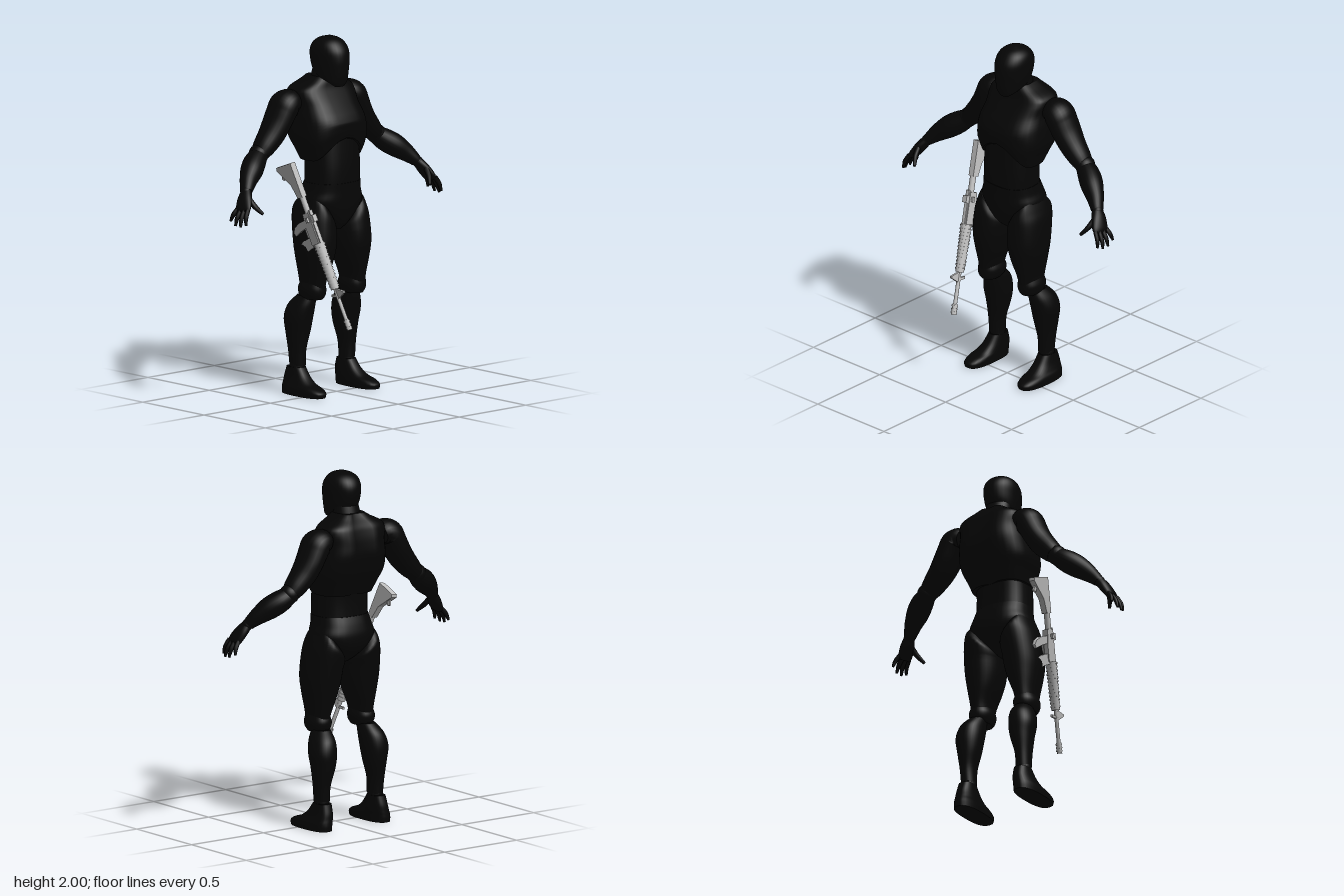
import * as THREE from 'three';

const black = new THREE.MeshStandardMaterial({ name: 'matte black', color: 0x050505 });
const steel = new THREE.MeshStandardMaterial({ name: 'steel grey', color: 0xbebebe });
const V = (x, y, z) => new THREE.Vector3(x, y, z);
const SEG = 32;

// Catmull-Rom resampling of rows of numbers
function smooth(rows, sub = 5) {
  const out = [], last = rows.length - 1;
  const row = i => rows[Math.min(last, Math.max(0, i))];
  for (let i = 0; i < last; i++) for (let k = 0; k < sub; k++) {
    const t = k / sub;
    out.push(rows[i].map((b, c) => {
      const a = row(i - 1)[c], d = row(i + 1)[c], e = row(i + 2)[c];
      return b + 0.5 * t * (d - a + t * (2 * a - 5 * b + 4 * d - e + t * (3 * (b - d) + e - a)));
    }));
  }
  out.push(rows[last]);
  return out;
}

// Skin over closed rings, with flat end caps
function skin(rings) {
  const pos = [], idx = [], n = rings[0].length;
  rings.forEach(r => r.forEach(p => pos.push(p.x, p.y, p.z)));
  for (let i = 0; i < rings.length - 1; i++) for (let j = 0; j < n; j++) {
    const a = i * n + j, b = i * n + (j + 1) % n;
    idx.push(a, a + n, b, b, a + n, b + n);
  }
  [rings[0], rings[rings.length - 1]].forEach((r, end) => {
    const s = pos.length / 3, c = V(0, 0, 0);
    r.forEach(p => { pos.push(p.x, p.y, p.z); c.addScaledVector(p, 1 / n); });
    pos.push(c.x, c.y, c.z);
    for (let j = 0; j < n; j++) {
      const k = s + (j + 1) % n;
      if (end) idx.push(s + n, k, s + j); else idx.push(s + n, s + j, k);
    }
  });
  const g = new THREE.BufferGeometry();
  g.setAttribute('position', new THREE.Float32BufferAttribute(pos, 3));
  g.setIndex(idx);
  g.computeVertexNormals();
  return g;
}

const bulge = (t, p) => Math.sign(t) * Math.pow(Math.abs(t), 2 / p);

// Horizontal slices, bottom to top: [y, x0, x1, zBack, zFront]
function slices(rows, power = 2.3, bend = null) {
  return skin(smooth(rows).map(([y, x0, x1, zb, zf]) => Array.from({ length: SEG }, (_, j) => {
    const a = j / SEG * Math.PI * 2;
    const p = V((x0 + x1) / 2 + (x1 - x0) / 2 * bulge(Math.cos(a), power), y,
      (zb + zf) / 2 + (zf - zb) / 2 * bulge(Math.sin(a), power));
    if (bend) bend(p);
    return p;
  })));
}
const centred = rows => rows.map(([y, w, zb, zf]) => [y, -w, w, zb, zf]);

// Limb along a path: [x, y, z, radius in the front plane, radius in depth]
function limb(rows, seg = 24) {
  const path = smooth(rows), at = i => V(...path[Math.max(0, Math.min(path.length - 1, i))].slice(0, 3));
  return skin(path.map((r, i) => {
    const t = at(i + 1).sub(at(i - 1)).normalize();
    const v = V(0, 0, 1).addScaledVector(t, -t.z).normalize();
    const u = t.clone().cross(v);
    return Array.from({ length: seg }, (_, j) => {
      const a = j / seg * Math.PI * 2;
      return at(i).addScaledVector(u, r[3] * Math.cos(a)).addScaledVector(v, r[4] * Math.sin(a));
    });
  }));
}

function ball(x, y, z, rx, ry, rz) {
  return new THREE.SphereGeometry(1, 24, 16).scale(rx, ry, rz).translate(x, y, z);
}

function mirrored(geo) {
  const g = geo.clone().scale(-1, 1, 1), ix = g.index.array;
  for (let i = 0; i < ix.length; i += 3) [ix[i], ix[i + 1]] = [ix[i + 1], ix[i]];
  return g;
}

function add(group, name, geo, mat = black) {
  const m = new THREE.Mesh(geo, mat);
  m.name = name;
  group.add(m);
  return m;
}

function buildRifle() {
  const g = new THREE.Group();
  g.name = 'rifle';
  // Local axes: z runs from butt to muzzle, y is the sight side
  const box = (name, w, h, d, y, z, tilt = 0) => {
    const m = add(g, name, new THREE.BoxGeometry(w, h, d), steel);
    m.position.set(0, y, z);
    m.rotation.x = tilt;
  };
  const rod = (name, r0, r1, z0, z1) => add(g, name,
    new THREE.CylinderGeometry(r1, r0, z1 - z0, 16).rotateX(Math.PI / 2).translate(0, 0, (z0 + z1) / 2), steel);
  const plate = (name, pts, w) => add(g, name,
    new THREE.ExtrudeGeometry(new THREE.Shape(pts.map(p => new THREE.Vector2(...p))), { depth: w, bevelEnabled: false })
      .translate(0, 0, -w / 2).rotateY(-Math.PI / 2), steel);

  plate('stock', [[0, 0.018], [0, -0.11], [0.018, -0.115], [0.12, -0.04], [0.2, -0.022], [0.2, 0.018]], 0.036);
  box('stockSwivel', 0.012, 0.02, 0.04, -0.092, 0.06, 0.6);
  rod('stockTube', 0.017, 0.017, 0.19, 0.32);
  plate('receiver', [[0.29, 0.02], [0.29, -0.03], [0.37, -0.042], [0.47, -0.042], [0.48, 0.02]], 0.036);
  box('topRail', 0.022, 0.01, 0.2, 0.023, 0.38);
  box('rearSight', 0.03, 0.024, 0.04, 0.032, 0.33);
  box('sideKnob', 0.062, 0.016, 0.028, 0, 0.33);
  plate('grip', [[0.325, -0.03], [0.33, -0.09], [0.35, -0.14], [0.375, -0.16], [0.395, -0.15], [0.38, -0.1], [0.368, -0.035]], 0.03);
  box('triggerGuard', 0.012, 0.006, 0.06, -0.066, 0.395);
  plate('magazine', [[0.425, -0.04], [0.435, -0.11], [0.47, -0.185], [0.525, -0.165], [0.495, -0.1], [0.482, -0.02]], 0.024);
  rod('handguard', 0.03, 0.024, 0.47, 0.74);
  for (let i = 0; i < 13; i++) rod('handguardRib', 0.034 - i * 0.0005, 0.034 - i * 0.0005, 0.475 + i * 0.02, 0.484 + i * 0.02);
  rod('barrel', 0.011, 0.011, 0.73, 0.96);
  plate('frontSight', [[0.735, 0], [0.765, 0.065], [0.775, 0.065], [0.8, 0]], 0.014);
  box('swivel', 0.012, 0.04, 0.014, -0.025, 0.775, 0.3);
  rod('muzzle', 0.015, 0.015, 0.92, 0.98);
  for (const z of [0.93, 0.948, 0.966]) rod('muzzleRing', 0.018, 0.018, z - 0.004, z + 0.004);

  const butt = V(-0.285, 1.315, -0.07), f = V(-0.152, 0.405, 0.272).sub(butt).normalize();
  const up = V(0, 0, 1).addScaledVector(f, -f.z).normalize();
  g.quaternion.setFromRotationMatrix(new THREE.Matrix4().makeBasis(up.clone().cross(f), up, f));
  g.position.copy(butt);
  return g;
}

export function createModel() {
  const model = new THREE.Group();
  model.name = 'jointedFigure';

  // Head, neck and trunk
  add(model, 'head', slices(centred([[1.725, 0.03, 0, 0.04], [1.75, 0.06, -0.04, 0.05], [1.78, 0.078, -0.13, 0.058],
    [1.82, 0.087, -0.165, 0.063], [1.87, 0.093, -0.18, 0.066], [1.92, 0.095, -0.18, 0.058],
    [1.96, 0.083, -0.16, 0.033], [1.986, 0.055, -0.125, 0], [2, 0.015, -0.075, -0.045]]), 2.1));
  add(model, 'neck', slices(centred([[1.68, 0.09, -0.19, -0.02], [1.75, 0.08, -0.18, -0.03], [1.82, 0.074, -0.16, -0.02]]), 2));
  // Rib cage: arched lower front edge, shallow groove down the spine
  add(model, 'chest', slices(centred([[1.315, 0.168, -0.185, 0.085], [1.38, 0.19, -0.22, 0.096], [1.45, 0.214, -0.255, 0.1],
    [1.54, 0.208, -0.282, 0.094], [1.62, 0.195, -0.278, 0.042], [1.68, 0.2, -0.265, 0],
    [1.715, 0.185, -0.25, -0.02], [1.75, 0.12, -0.22, -0.03], [1.775, 0.08, -0.2, -0.04]]), 2.9, p => {
    const low = THREE.MathUtils.clamp((1.54 - p.y) / 0.22, 0, 1);
    const mid = Math.max(0, 1 - (p.x / 0.17) ** 2);
    if (p.z < -0.1) p.z += 0.018 * Math.exp(-((p.x / 0.035) ** 2));
    p.y += 0.13 * low * mid * THREE.MathUtils.smoothstep(p.z, -0.08, 0.06);
  }));
  add(model, 'abdomen', slices(centred([[1.08, 0.158, -0.17, 0.08], [1.18, 0.156, -0.165, 0.09],
    [1.3, 0.154, -0.165, 0.09], [1.47, 0.15, -0.18, 0.075]]), 2.6));
  add(model, 'pelvis', slices(centred([[0.92, 0.03, -0.09, 0.02], [0.96, 0.07, -0.15, 0.06], [1.02, 0.14, -0.195, 0.08],
    [1.08, 0.184, -0.203, 0.087], [1.14, 0.168, -0.19, 0.09], [1.19, 0.158, -0.17, 0.094]]), 2.5));

  const parts = [];
  const part = (name, geo) => parts.push([name, geo]);

  // Leg, with the thigh top slanting down to the crotch
  part('thigh', slices([[0.57, 0.1, 0.2, -0.11, 0.04], [0.65, 0.09, 0.204, -0.127, 0.055], [0.75, 0.052, 0.22, -0.15, 0.08],
    [0.85, 0.03, 0.23, -0.17, 0.096], [0.98, 0.026, 0.22, -0.193, 0.09], [1.05, 0.035, 0.2, -0.197, 0.08],
    [1.1, 0.06, 0.18, -0.17, 0.06]], 2.3, p => {
    if (p.y > 0.9) p.y -= (p.y - 0.9) * 5 * Math.max(0, 0.17 - p.x);
  }));
  part('knee', slices([[0.54, 0.105, 0.195, -0.1, 0.03], [0.565, 0.09, 0.21, -0.12, 0.045], [0.6, 0.085, 0.215, -0.125, 0.047],
    [0.64, 0.1, 0.2, -0.11, 0.04]]));
  part('shin', slices([[0.16, 0.145, 0.225, -0.168, -0.07], [0.25, 0.143, 0.23, -0.178, -0.065], [0.35, 0.116, 0.242, -0.197, -0.05],
    [0.43, 0.104, 0.253, -0.203, -0.035], [0.5, 0.104, 0.235, -0.185, -0.02], [0.555, 0.11, 0.2, -0.135, -0.015]], 2.2));
  part('ankle', ball(0.186, 0.155, -0.12, 0.042, 0.045, 0.046));
  part('foot', slices([[0, 0.142, 0.264, -0.205, 0.105], [0.025, 0.14, 0.264, -0.207, 0.11], [0.045, 0.14, 0.26, -0.206, 0.08],
    [0.065, 0.141, 0.25, -0.204, 0.02], [0.1, 0.143, 0.238, -0.2, -0.03], [0.15, 0.147, 0.228, -0.185, -0.07]], 2.6));

  // Arm, with a full rounded shoulder
  part('upperArm', limb([[0.19, 1.635, -0.155, 0.06, 0.075], [0.22, 1.64, -0.155, 0.073, 0.088], [0.25, 1.625, -0.155, 0.08, 0.094],
    [0.272, 1.59, -0.157, 0.075, 0.094], [0.305, 1.53, -0.16, 0.071, 0.09], [0.345, 1.47, -0.16, 0.069, 0.08],
    [0.4, 1.41, -0.16, 0.06, 0.068], [0.43, 1.38, -0.16, 0.05, 0.058]]));
  part('elbow', ball(0.44, 1.375, -0.16, 0.055, 0.055, 0.058));
  part('forearm', limb([[0.44, 1.37, -0.16, 0.05, 0.053], [0.49, 1.335, -0.14, 0.062, 0.064], [0.54, 1.3, -0.11, 0.063, 0.063],
    [0.59, 1.26, -0.08, 0.051, 0.05], [0.625, 1.225, -0.055, 0.038, 0.04], [0.64, 1.207, -0.045, 0.032, 0.036]]));
  part('wrist', ball(0.645, 1.205, -0.042, 0.03, 0.032, 0.034));
  part('palm', limb([[0.645, 1.205, -0.04, 0.027, 0.033], [0.67, 1.17, -0.025, 0.029, 0.047],
    [0.698, 1.125, -0.005, 0.023, 0.053], [0.71, 1.103, 0, 0.013, 0.046]]));

  const digit = (name, a, b, r) => {
    const m = [0, 1, 2].map(i => (a[i] + b[i]) / 2 + (i === 0 ? 0.008 : 0));
    part(name, limb([[...a, r, r], [...m, r, r], [...b, r * 0.55, r * 0.55]], 10));
  };
  const tips = [[0.742, 1.05, -0.062], [0.75, 1.03, -0.015], [0.748, 1.028, 0.025], [0.735, 1.04, 0.056]];
  tips.forEach((tip, i) => digit('finger', [0.704, 1.122, -0.042 + i * 0.027], tip, 0.0125));
  digit('thumb', [0.665, 1.175, 0.005], [0.627, 1.093, 0.08], 0.015);

  for (const [name, geo] of parts) {
    add(model, name + 'Left', geo);
    add(model, name + 'Right', mirrored(geo));
  }

  model.add(buildRifle());
  return model;
}
